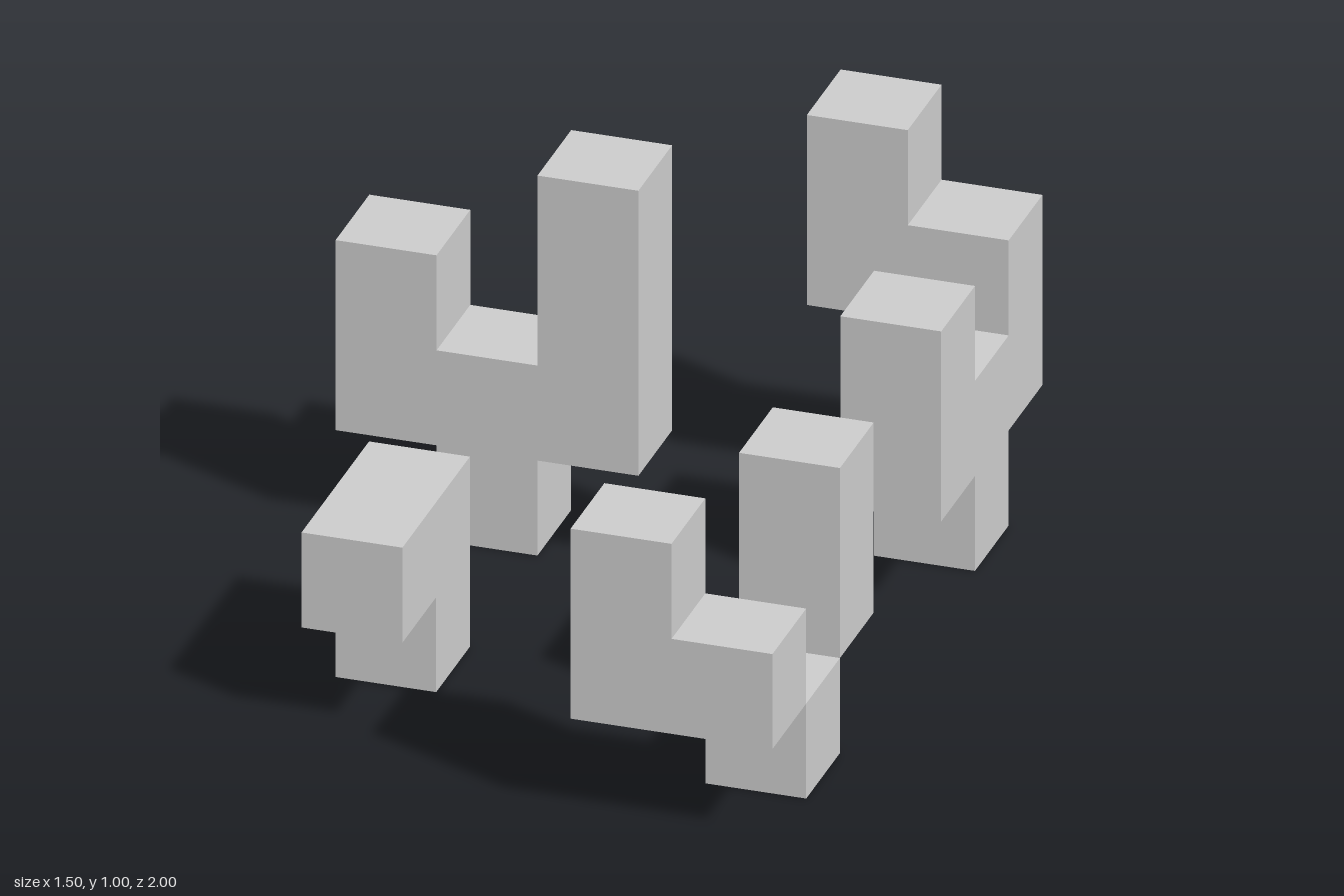
import * as THREE from 'three';

const U = 0.25; // one cube of the puzzle grid
const material = new THREE.MeshStandardMaterial({ color: 0xcccccc, flatShading: true });

// Outline in grid units, extruded one cube thick
function slab(points) {
  const shape = new THREE.Shape(points.map(([a, b]) => new THREE.Vector2(a * U, b * U)));
  return new THREE.ExtrudeGeometry(shape, { depth: U, bevelEnabled: false });
}

// Outline drawn in (x, y), back face at z
const slabAcrossX = (points, z) => slab(points).translate(0, 0, z * U);

// Outline drawn in (z, y), left face at x
const slabAcrossZ = (points, x) => slab(points).rotateY(-Math.PI / 2).translate((x + 1) * U, 0, 0);

// Box from its minimum corner and size, in grid units
const block = (x, y, z, w, h, d) =>
  new THREE.BoxGeometry(w * U, h * U, d * U)
    .translate((x + w / 2) * U, (y + h / 2) * U, (z + d / 2) * U);

function piece(name, parts) {
  const group = new THREE.Group();
  group.name = name;
  for (const [partName, geometry] of Object.entries(parts)) {
    const mesh = new THREE.Mesh(geometry, material);
    mesh.name = partName;
    group.add(mesh);
  }
  return group;
}

export function createModel() {
  const model = new THREE.Group();
  model.name = 'cubePuzzlePieces';

  model.add(
    // Flat fork with one long and one short arm
    piece('forkPiece', {
      fork: slabAcrossX([
        [-2, 0], [-1, 0], [-1, 1], [0, 1], [0, 4], [-1, 4],
        [-1, 2], [-2, 2], [-2, 3], [-3, 3], [-3, 1], [-2, 1],
      ], -2),
    }),

    // Small three-cube corner
    piece('cornerPiece', {
      corner: slabAcrossZ([[1, 0], [2, 0], [2, 1], [3, 1], [3, 2], [1, 2]], -2),
    }),

    // L-shaped front with foot and column that meet along edges
    piece('steppedPiece', {
      frontElbow: slabAcrossX([[1, 1], [3, 1], [3, 2], [2, 2], [2, 3], [1, 3]], 3),
      foot: block(2, 0, 2, 1, 1, 1),
      column: block(2, 1, 1, 1, 2, 1),
    }),

    // Even fork with a raised block on its side
    piece('sideBlockPiece', {
      fork: slabAcrossZ([
        [-3, 0], [-2, 0], [-2, 1], [-1, 1], [-1, 3], [-2, 3],
        [-2, 2], [-3, 2], [-3, 3], [-4, 3], [-4, 1], [-3, 1],
      ], 2),
      raisedBlock: block(1, 2, -4, 1, 2, 1),
    }),
  );
  return model;
}
